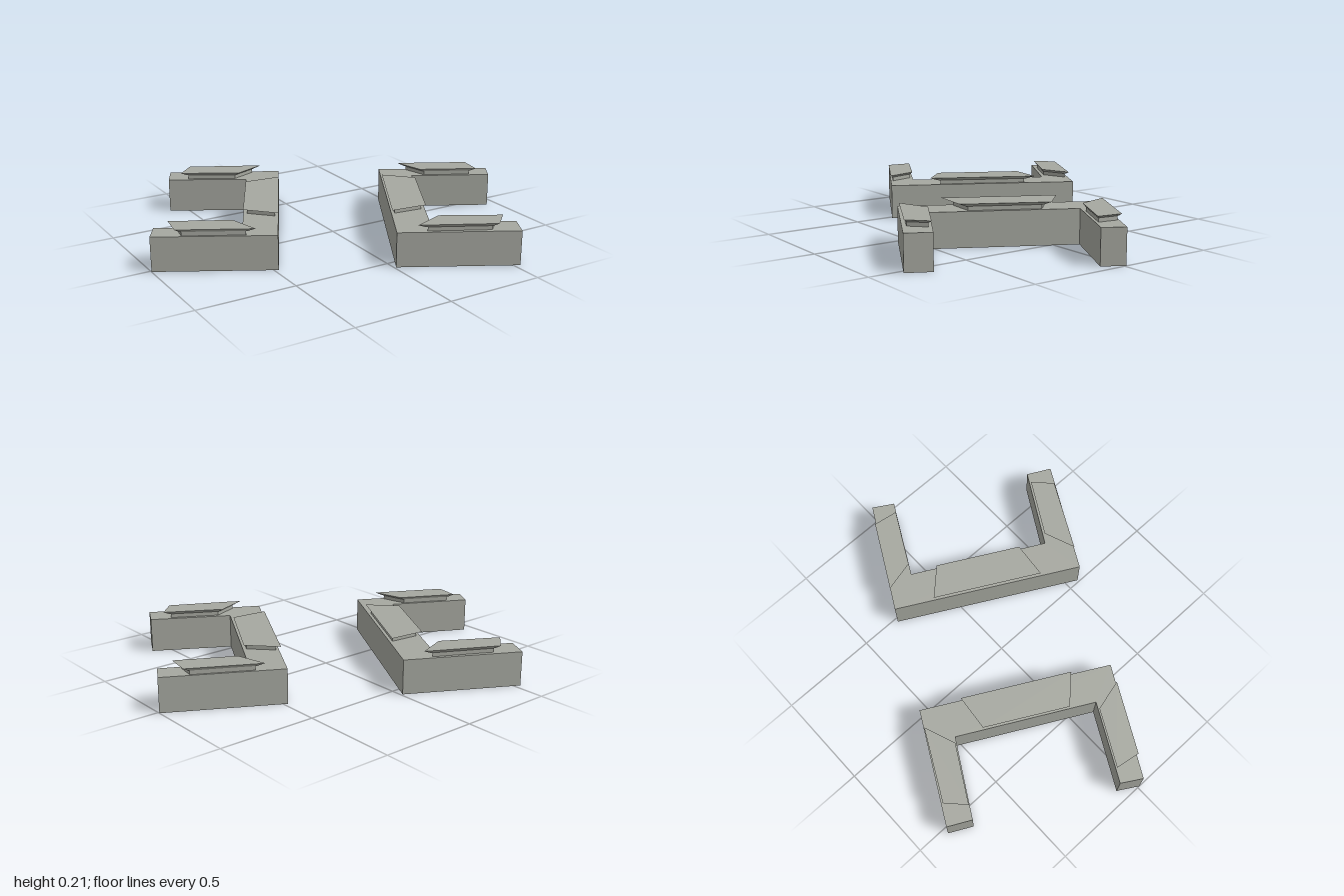
import * as THREE from 'three';

const concrete = new THREE.MeshStandardMaterial({ color: 0xa6a8a0, side: THREE.DoubleSide });
concrete.name = 'grey concrete';

// Outlines are [x, z] corners, anticlockwise seen from above.
const WALL = [[0.48, -0.3], [0.01, 0.56], [0.53, 0.845], [0.59, 0.73],
  [0.23, 0.52], [0.57, -0.11], [0.94, 0.09], [1, -0.01]];
const CAPS = {
  spineCap: [[0.38, -0.12], [0.11, 0.375], [0.295, 0.395], [0.505, 0.01]],
  backArmCap: [[0.57, -0.25], [0.61, -0.09], [0.88, 0.055], [0.9, -0.07]],
  frontArmCap: [[0.1, 0.605], [0.44, 0.785], [0.53, 0.7], [0.26, 0.545]],
};
const WALL_TOP = 0.175, SPACER_TOP = 0.196, CAP_TOP = 0.21;

// Shell between two outlines, closed on top and open underneath.
function shell(name, low, high, y0, y1) {
  const pos = [];
  const put = (p, y) => pos.push(p[0], y, p[1]);
  low.forEach((a, i) => {
    const j = (i + 1) % low.length;
    put(a, y0); put(low[j], y0); put(high[j], y1);
    put(a, y0); put(high[j], y1); put(high[i], y1);
  });
  const flat = high.map(([x, z]) => new THREE.Vector2(x, -z));
  for (const tri of THREE.ShapeUtils.triangulateShape(flat, [])) {
    tri.forEach((i) => put(high[i], y1));
  }
  const geo = new THREE.BufferGeometry();
  geo.setAttribute('position', new THREE.Float32BufferAttribute(pos, 3));
  geo.computeVertexNormals();
  const mesh = new THREE.Mesh(geo, concrete);
  mesh.name = name;
  return mesh;
}

// Shrinks an outline about its centre.
function shrink(outline, k) {
  const mid = [0, 1].map((n) => outline.reduce((s, p) => s + p[n], 0) / outline.length);
  return outline.map((p) => p.map((v, n) => mid[n] + (v - mid[n]) * k));
}

// One C-shaped wall with its three raised, undercut cap slabs
function barrier(name) {
  const group = new THREE.Group();
  group.name = name;
  group.add(shell('wall', WALL, WALL, 0, WALL_TOP));
  for (const [part, outline] of Object.entries(CAPS)) {
    const foot = shrink(outline, 0.8);
    group.add(shell(part + 'Spacer', foot, foot, WALL_TOP, SPACER_TOP));
    group.add(shell(part, shrink(outline, 0.84), outline, SPACER_TOP, CAP_TOP));
  }
  return group;
}

export function createModel() {
  const model = new THREE.Group();
  model.name = 'barrierPair';
  const left = barrier('leftBarrier');
  // The second barrier is the first turned half a circle
  const right = barrier('rightBarrier');
  right.rotation.y = Math.PI;
  model.add(left, right);
  return model;
}
